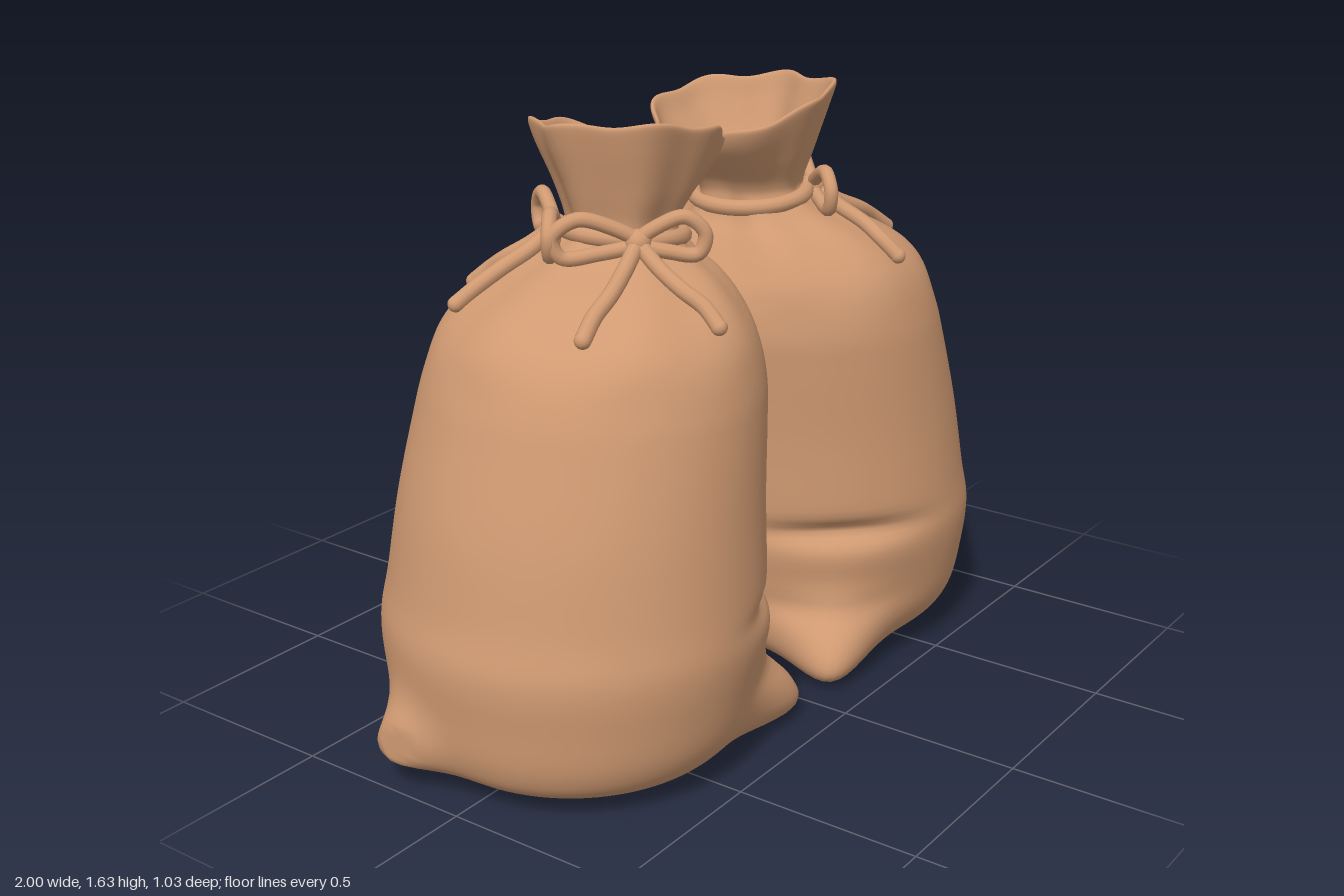
import * as THREE from 'three';

const burlap = new THREE.MeshStandardMaterial({ color: 0xd09a72 });
burlap.name = 'burlap';

// Sack cross-sections, bottom to rim and down into the mouth: y, centre x, radius x, centre z, radius z
const RINGS = [
  [0.012, 0.50, 0.001, 0, 0.001], [0.014, 0.50, 0.22, 0.01, 0.22], [0.03, 0.505, 0.335, 0.02, 0.33],
  [0.07, 0.52, 0.41, 0.02, 0.40], [0.14, 0.525, 0.445, 0.01, 0.455], [0.25, 0.525, 0.46, 0, 0.49],
  [0.38, 0.52, 0.472, 0, 0.505], [0.5, 0.50, 0.464, 0, 0.495], [0.7, 0.475, 0.449, 0, 0.475],
  [0.9, 0.435, 0.427, 0, 0.455], [1.0, 0.415, 0.413, 0, 0.44], [1.1, 0.40, 0.38, 0, 0.41],
  [1.17, 0.38, 0.33, 0, 0.36], [1.23, 0.345, 0.26, 0, 0.285], [1.28, 0.305, 0.185, -0.01, 0.205],
  [1.33, 0.275, 0.14, -0.015, 0.15], [1.37, 0.265, 0.14, -0.02, 0.15], [1.44, 0.25, 0.175, -0.02, 0.185],
  [1.52, 0.24, 0.215, -0.025, 0.23], [1.57, 0.237, 0.23, -0.025, 0.25], [1.575, 0.237, 0.218, -0.025, 0.238],
  [1.52, 0.24, 0.195, -0.025, 0.21], [1.44, 0.25, 0.145, -0.02, 0.155], [1.40, 0.26, 0.09, -0.02, 0.1],
  [1.385, 0.26, 0.001, -0.02, 0.001],
];
const LAST = RINGS.length - 1;
const curveX = new THREE.CatmullRomCurve3(RINGS.map(r => new THREE.Vector3(r[0], r[1], r[2])), false, 'catmullrom', 0.5);
const curveZ = new THREE.CatmullRomCurve3(RINGS.map(r => new THREE.Vector3(r[0], r[3], r[4])), false, 'catmullrom', 0.5);

const deg = Math.PI / 180;
const gauss = v => Math.exp(-v * v);
const angleGap = (a, b) => Math.atan2(Math.sin(a - b), Math.cos(a - b));

// Point on the gathered cloth, ring being a fractional index into RINGS
function clothPoint(ring, a, sack) {
  const p = curveX.getPoint(ring / LAST), q = curveZ.getPoint(ring / LAST);
  let y = p.x;
  // Pleats gathered at the neck
  const pleat = 0.045 * THREE.MathUtils.smoothstep(y, 1.02, 1.28);
  let r = 1 + pleat * (Math.cos(7 * a + 0.6) + 0.6 * Math.cos(5 * a + 1));
  // Slumped folds near the base
  for (const [angle, width, height, depth] of sack.folds) {
    const g = gauss(angleGap(a, angle * deg) / (width * deg));
    r += g * depth * (0.4 * gauss((y - height + 0.08) / 0.07) - gauss((y - height) / 0.03));
  }
  // Tilted, wavy rim
  const k = THREE.MathUtils.smoothstep(y, 1.37, 1.57);
  y += k * (0.052 * Math.cos(a) + 0.018 * Math.sin(a) - 0.012 * Math.cos(2 * a) + 0.007 * Math.cos(7 * a));
  const v = new THREE.Vector3(p.y + p.z * r * Math.cos(a), y, q.y + q.z * r * Math.sin(a));
  // Pulled-out bottom corners
  for (const { base, pull, size } of sack.corners) {
    const d = Math.hypot(v.x - base[0], v.y - base[1], v.z - base[2]);
    v.addScaledVector(new THREE.Vector3(...pull), gauss(d / size));
  }
  v.x = THREE.MathUtils.clamp(v.x, 0.001, 1);
  v.y = Math.max(v.y, 0.002);
  return v;
}

function clothGeometry(sack) {
  const rows = 168, cols = 112, pos = [], index = [];
  for (let i = 0; i <= rows; i++) {
    for (let j = 0; j < cols; j++) {
      const v = clothPoint(i / rows * LAST, j / cols * Math.PI * 2, sack);
      pos.push(v.x * sack.side, v.y, v.z + sack.z);
    }
  }
  for (let i = 0; i < rows; i++) {
    for (let j = 0; j < cols; j++) {
      const a = i * cols + j, b = i * cols + (j + 1) % cols, c = a + cols, d = b + cols;
      if (sack.side > 0) index.push(a, c, b, b, c, d);
      else index.push(a, b, c, b, d, c);
    }
  }
  const g = new THREE.BufferGeometry();
  g.setAttribute('position', new THREE.Float32BufferAttribute(pos, 3));
  g.setIndex(index);
  g.computeVertexNormals();
  return g;
}

function makeSack(sack, name) {
  const group = new THREE.Group();
  group.name = name;
  const add = (geometry, partName) => {
    const m = new THREE.Mesh(geometry, burlap);
    m.name = partName;
    group.add(m);
    return m;
  };
  const place = v => new THREE.Vector3(v.x * sack.side, v.y, v.z + sack.z);
  const rope = (points, radius, closed, partName) =>
    add(new THREE.TubeGeometry(new THREE.CatmullRomCurve3(points.map(place), closed), closed ? 48 : 28, radius, 10, closed), partName);
  const ball = (v, radius, partName) =>
    add(new THREE.SphereGeometry(radius, 14, 10), partName).position.copy(place(v));

  add(clothGeometry(sack), 'sackCloth');

  // Cord around the neck
  const band = [];
  for (let j = 0; j < 20; j++) {
    const a = j / 20 * Math.PI * 2;
    band.push(new THREE.Vector3(0.272 + 0.145 * Math.cos(a), 1.325 + 0.015 * Math.cos(a), -0.015 + 0.155 * Math.sin(a)));
  }
  rope(band, 0.022, true, 'neckCord');

  // Two bows: knot angle, loops as [direction, length], tail end angles
  const bows = [
    [48, [[130, 0.165], [-45, 0.21]], [86, 29]],
    [-52, [[35, 0.2], [-125, 0.165]], [-45, -80]],
  ];
  for (const [knotAngle, loops, tails] of bows) {
    const k = knotAngle * deg;
    const knot = new THREE.Vector3(0.272 + 0.165 * Math.cos(k), 1.335, -0.015 + 0.175 * Math.sin(k));
    ball(knot, 0.034, 'bowKnot');
    for (const [direction, length] of loops) {
      const dx = Math.cos(direction * deg) * length, dz = Math.sin(direction * deg) * length;
      const outline = [[0, 0], [0.36, 0.045], [0.72, 0.062], [1, 0.02], [0.9, -0.03], [0.48, -0.025]];
      rope(outline.map(([u, h]) => new THREE.Vector3(knot.x + dx * u, knot.y + h, knot.z + dz * u)), 0.019, true, 'bowLoop');
    }
    for (const tail of tails) {
      const path = [knot];
      for (const t of [0.35, 0.6, 0.8, 1]) {
        const a = THREE.MathUtils.lerp(k, tail * deg, Math.min(1, t * 1.15));
        const v = clothPoint(15 - 3.15 * t, a, sack);
        path.push(v.add(new THREE.Vector3(Math.cos(a) * 0.01, 0.012, Math.sin(a) * 0.01)));
      }
      rope(path, 0.021, false, 'bowTail');
      ball(path[path.length - 1], 0.021, 'tailEnd');
    }
  }
  return group;
}

export function createModel() {
  const model = new THREE.Group();
  model.name = 'tiedSacks';
  const innerCorner = { base: [0.22, 0.085, 0.31], pull: [-0.14, -0.04, 0.09], size: 0.13 };
  const frontFolds = [[135, 25, 0.43, 0.08], [140, 20, 0.21, 0.04]];
  model.add(makeSack({
    side: 1, z: 0.005,
    folds: [...frontFolds, [225, 28, 0.4, 0.05]],
    corners: [innerCorner, { base: [0.945, 0.15, -0.08], pull: [0.065, -0.01, -0.02], size: 0.1 }],
  }, 'leftSack'));
  model.add(makeSack({
    side: -1, z: -0.012,
    folds: [...frontFolds, [235, 26, 0.3, 0.05]],
    corners: [innerCorner, { base: [0.92, 0.12, -0.18], pull: [0.1, -0.01, -0.04], size: 0.1 }],
  }, 'rightSack'));
  return model;
}
